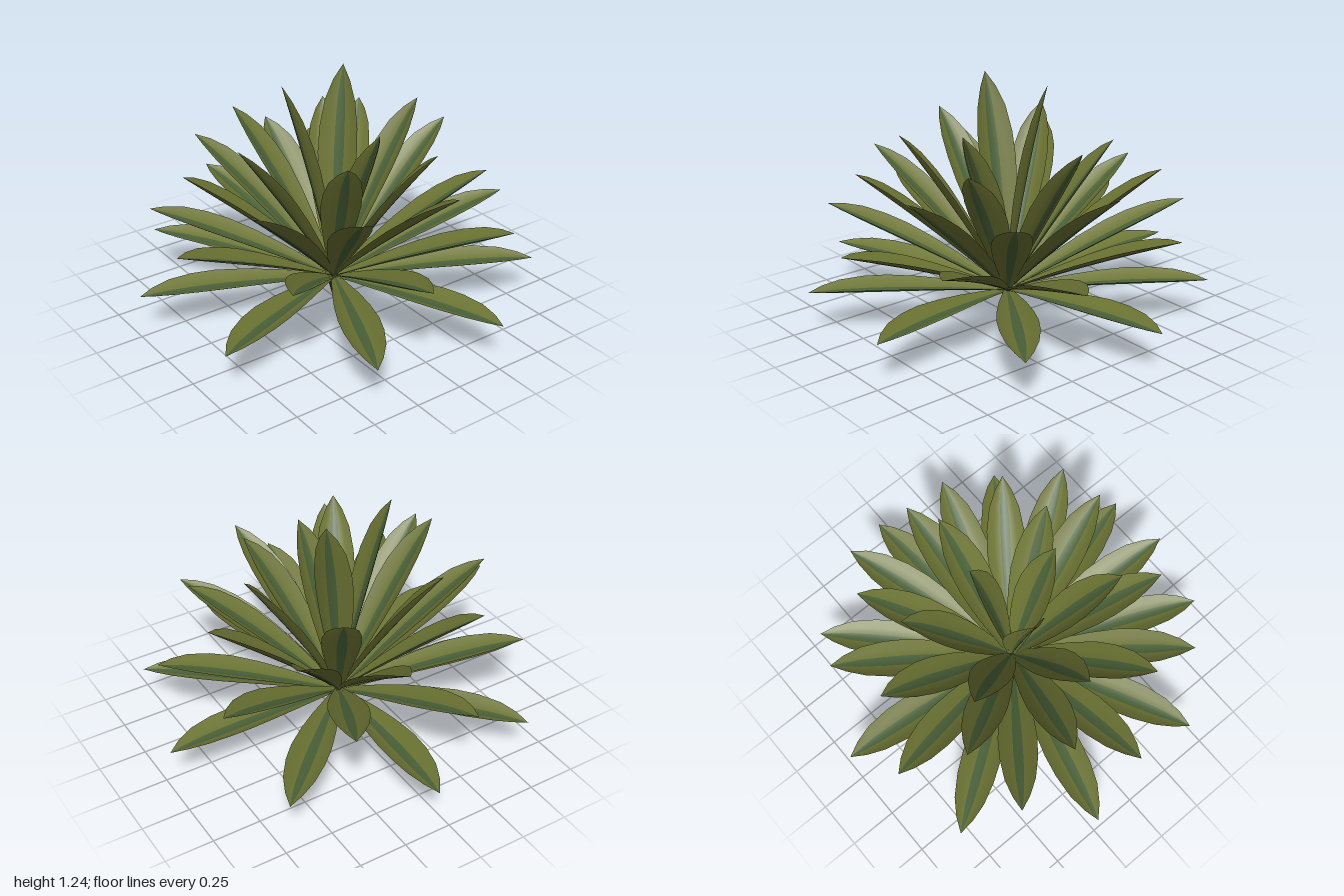
import * as THREE from 'three';

// Leaf tips [x, y, z], tier by tier from the ground up
const TIERS = {
  groundLeaf: [[0.065, 0.235, -1], [0.7, 0.235, -0.71], [1, 0.235, -0.08], [0.825, 0.235, 0.595], [0.26, 0.235, 1],
    [-0.44, 0.235, 0.94], [-0.935, 0.235, 0.45], [-1, 0.235, -0.24], [-0.605, 0.235, -0.815]],
  lowLeaf: [[0.41, 0.57, -0.815], [0.84, 0.57, -0.355], [0.875, 0.485, 0.28], [0.49, 0.57, 0.795], [-0.125, 0.52, 0.935],
    [-0.695, 0.57, 0.65], [-0.945, 0.57, 0.06], [-0.76, 0.52, -0.545], [-0.225, 0.49, -0.89]],
  middleLeaf: [[0.07, 0.75, -0.74], [0.535, 0.825, -0.515], [0.74, 0.825, -0.04], [0.595, 0.75, 0.465], [0.17, 0.825, 0.75],
    [-0.35, 0.825, 0.695], [-0.71, 0.825, 0.345], [-0.745, 0.825, -0.21], [-0.44, 0.825, -0.615]],
  upperLeaf: [[0.25, 0.92, -0.455], [0.52, 1, 0], [0.265, 0.92, 0.475], [-0.275, 1, 0.485], [-0.575, 1, 0.02], [-0.305, 1, -0.455]],
  heartLeaf: [[0.03, 1.03, 0.325], [0.135, 1.235, -0.115], [-0.275, 1.235, -0.05]],
};
const BASE = new THREE.Vector3(-0.015, 0.14, 0.015);
// Half-width along the leaf: [fraction of length, half-width]
const OUTLINE = [[0, 0.018], [0.15, 0.042], [0.3, 0.068], [0.45, 0.088], [0.6, 0.1], [0.72, 0.096], [0.84, 0.077], [0.93, 0.043], [1, 0]];
const ACROSS = [-1, -0.6, -0.25, 0, 0.25, 0.6, 1];

// A thin, lengthwise-cupped leaf: outer blade and midrib share one smooth surface
function createLeaf(tip, bladeMaterial, midribMaterial) {
  const along = tip.clone().sub(BASE);
  const side = new THREE.Vector3().crossVectors(along, new THREE.Vector3(0, 1, 0)).normalize();
  const normal = new THREE.Vector3().crossVectors(side, along).normalize();
  const positions = [], blade = [], midrib = [];
  for (const [t, w] of OUTLINE) {
    const bow = 0.05 * t * (1 - t);
    for (const u of ACROSS) {
      const p = BASE.clone().addScaledVector(along, t).addScaledVector(side, u * w)
        .addScaledVector(normal, bow + 0.4 * w * u * u);
      positions.push(p.x, p.y, p.z);
    }
  }
  const n = ACROSS.length;
  for (let i = 0; i < OUTLINE.length - 1; i++) {
    for (let j = 0; j < n - 1; j++) {
      const a = i * n + j, b = a + n;
      const strip = j === 2 || j === 3 ? midrib : blade;
      strip.push(a, a + 1, b, a + 1, b + 1, b);
    }
  }
  const whole = new THREE.BufferGeometry();
  whole.setAttribute('position', new THREE.Float32BufferAttribute(positions, 3));
  whole.setIndex([...blade, ...midrib]);
  whole.computeVertexNormals();

  const leaf = new THREE.Group();
  for (const [name, index, material] of [['blade', blade, bladeMaterial], ['midrib', midrib, midribMaterial]]) {
    const geometry = whole.clone();
    geometry.setIndex(index);
    const mesh = new THREE.Mesh(geometry, material);
    mesh.name = name;
    leaf.add(mesh);
  }
  return leaf;
}

export function createModel() {
  const model = new THREE.Group();
  model.name = 'rosettePlant';
  const bladeMaterial = new THREE.MeshStandardMaterial({ color: 0x6c7433, side: THREE.DoubleSide });
  const midribMaterial = new THREE.MeshStandardMaterial({ color: 0x4a6238, side: THREE.DoubleSide });
  const rootMaterial = new THREE.MeshStandardMaterial({ color: 0x2a3a25 });

  // Tiers of leaves
  for (const [name, tips] of Object.entries(TIERS)) {
    const tier = new THREE.Group();
    tier.name = name + 'Tier';
    for (const tip of tips) {
      const leaf = createLeaf(new THREE.Vector3(...tip), bladeMaterial, midribMaterial);
      leaf.name = name;
      tier.add(leaf);
    }
    model.add(tier);
  }

  // Pointed root
  const root = new THREE.Mesh(new THREE.ConeGeometry(0.04, 0.145, 6), rootMaterial);
  root.name = 'root';
  root.rotation.x = Math.PI;
  root.position.set(BASE.x, 0.0725, BASE.z);
  model.add(root);
  return model;
}
